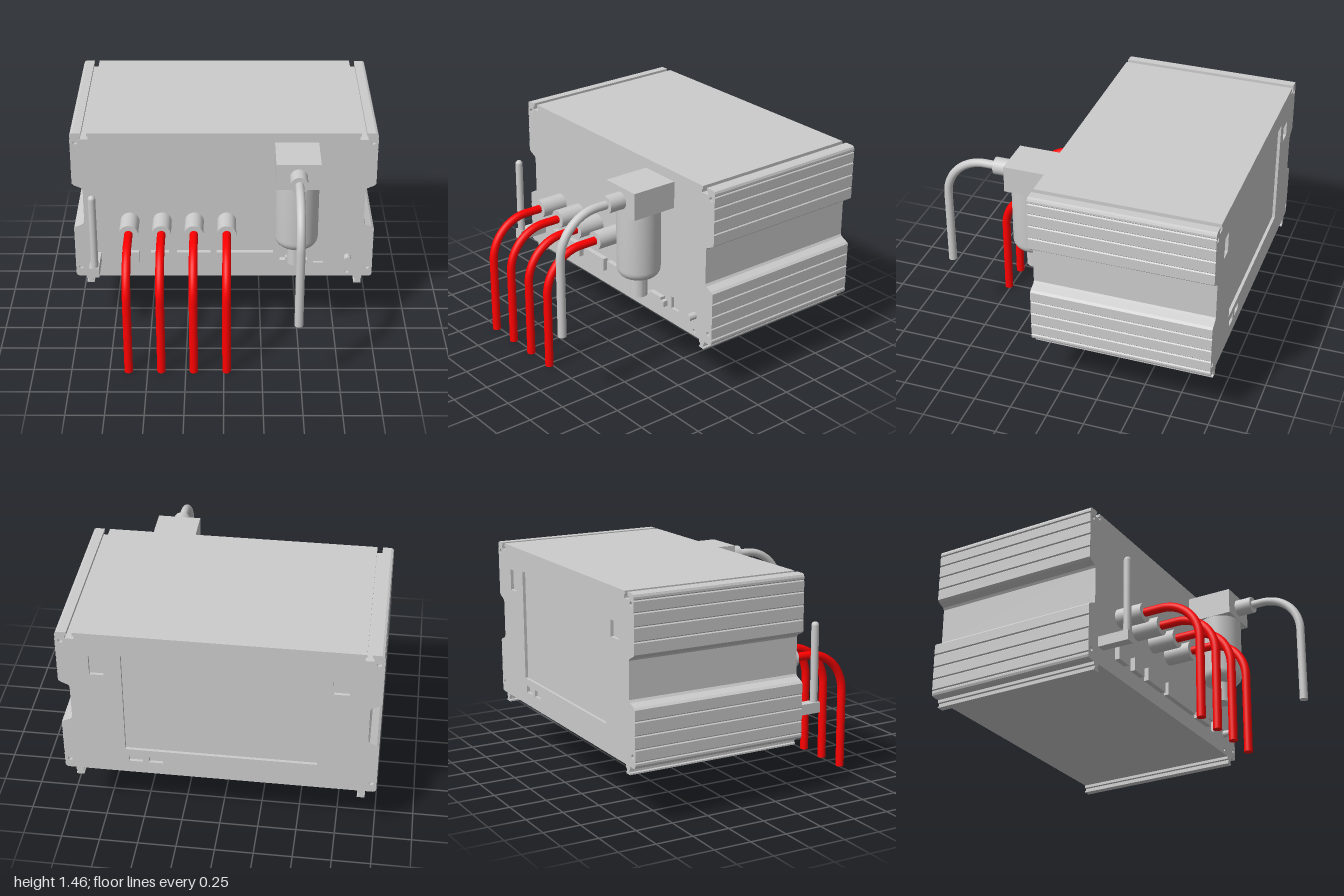
import * as THREE from 'three';
import { toCreasedNormals } from 'three/addons/utils/BufferGeometryUtils.js';

const grey = new THREE.MeshStandardMaterial({ color: 0xcccccc });
const red = new THREE.MeshStandardMaterial({ color: 0xff0000 });
const BACK = -1, FRONT = 0.19, PLATE = 0.02;

export function createModel() {
  const model = new THREE.Group();

  const add = (name, geometry, material = grey) => {
    const mesh = new THREE.Mesh(geometry, material);
    mesh.name = name;
    model.add(mesh);
    return mesh;
  };
  // Box given by its limits
  const box = (name, x0, x1, y0, y1, z0, z1) =>
    add(name, new THREE.BoxGeometry(x1 - x0, y1 - y0, z1 - z0))
      .position.set((x0 + x1) / 2, (y0 + y1) / 2, (z0 + z1) / 2);
  // Cylinder lying along z
  const rod = (name, x, y, r, z0, z1) => {
    const geometry = new THREE.CylinderGeometry(r, r, z1 - z0, 32).rotateX(Math.PI / 2);
    add(name, geometry).position.set(x, y, (z0 + z1) / 2);
  };

  // Right half of the case section, from the bottom rail up to the top slot
  const half = [
    [0.88, 0.385], [0.88, 0.365], [0.89, 0.36], [0.89, 0.345], [0.88, 0.34], [0.88, 0.33],
    [0.93, 0.33], [0.93, 0.34], [0.92, 0.345], [0.92, 0.36], [0.93, 0.365], [0.93, 0.385],
    [0.98, 0.385], [0.994, 0.391], [1, 0.405],
  ];
  const groove = (y) => half.push([1, y - 0.007], [0.993, y], [1, y + 0.007]);
  [0.425, 0.505, 0.59, 0.68].forEach(groove);
  half.push([1, 0.752], [0.985, 0.765], [0.94, 0.785], [0.93, 0.8],
    [0.93, 1.04], [0.94, 1.055], [0.985, 1.075], [1, 1.088]);
  [1.165, 1.255, 1.34, 1.415].forEach(groove);
  half.push([1, 1.435], [0.994, 1.449], [0.98, 1.455],
    [0.925, 1.455], [0.925, 1.435], [0.935, 1.43], [0.935, 1.41],
    [0.88, 1.41], [0.88, 1.43], [0.89, 1.435], [0.89, 1.455]);
  const outline = [...half, ...half.map(([x, y]) => [-x, y]).reverse()];

  // Slice of the case with optional rectangular and round openings
  const slice = (name, z0, z1, rects = [], circles = []) => {
    const shape = new THREE.Shape(outline.map(([x, y]) => new THREE.Vector2(x, y)));
    for (const [x0, x1, y0, y1] of rects) {
      shape.holes.push(new THREE.Path([
        new THREE.Vector2(x0, y0), new THREE.Vector2(x0, y1),
        new THREE.Vector2(x1, y1), new THREE.Vector2(x1, y0)]));
    }
    for (const [x, y, r] of circles) {
      shape.holes.push(new THREE.Path().absarc(x, y, r, 0, Math.PI * 2, true));
    }
    const geometry = new THREE.ExtrudeGeometry(shape,
      { depth: z1 - z0, bevelEnabled: false, curveSegments: 16 });
    add(name, geometry).position.z = z0;
  };
  const screwHoles = [-1, 1].flatMap((s) => [[s * 0.965, 1.39, 0.015], [s * 0.965, 0.455, 0.015]]);

  slice('caseBody', BACK + PLATE, FRONT - PLATE);
  slice('frontPlate', FRONT - PLATE, FRONT, [[0.6, 0.67, 0.49, 0.575]],
    [...screwHoles, [0.83, 0.42, 0.013]]);
  // Screen recess, two side openings and two small ports
  slice('backPlate', BACK, BACK + PLATE, [
    [-0.62, 0.6, 0.57, 1.31], [0.71, 0.8, 1.15, 1.29], [-0.8, -0.7, 1.14, 1.245],
    [0.49, 0.58, 0.475, 0.52], [0.36, 0.45, 0.475, 0.52]], screwHoles);

  // Connectors along the lower front
  for (const [x0, x1] of [[-0.685, -0.57], [-0.49, -0.37], [-0.315, -0.09], [-0.05, 0.33]]) {
    box('frontConnector', x0, x1, 0.495, 0.585, FRONT - 0.01, 0.225);
  }
  box('steppedConnectorBase', 0.375, 0.56, 0.49, 0.53, FRONT - 0.01, 0.225);
  box('steppedConnectorTop', 0.41, 0.53, 0.53, 0.55, FRONT - 0.01, 0.225);
  rod('frontButton', 0.83, 0.535, 0.024, FRONT - 0.01, 0.245);

  // Antenna on its bracket
  box('antennaBracket', -0.89, -0.825, 0.5, 0.57, FRONT - 0.01, 0.405);
  add('antenna', new THREE.CapsuleGeometry(0.025, 0.51, 6, 24)).position.set(-0.855, 0.82, 0.38);

  // Hose that leaves forwards, bends down and ends flat
  const hose = (name, x, y, r, zStart, zBend, zEnd, yBend, yEnd, material) => {
    const k = 0.5523;
    const p = (py, pz) => new THREE.Vector3(x, py, pz);
    const path = new THREE.CurvePath();
    path.add(new THREE.LineCurve3(p(y, zStart), p(y, zBend)));
    path.add(new THREE.CubicBezierCurve3(p(y, zBend), p(y, zBend + k * (zEnd - zBend)),
      p(yBend + k * (y - yBend), zEnd), p(yBend, zEnd)));
    path.add(new THREE.LineCurve3(p(yBend, zEnd), p(yEnd, zEnd)));
    add(name, new THREE.TubeGeometry(path, 80, r, 20), material);
    const cap = add(name + 'End', new THREE.CircleGeometry(r, 20).rotateX(Math.PI / 2), material);
    cap.position.set(x, yEnd, zEnd);
  };

  // Four power cables with their sleeves
  for (const x of [-0.625, -0.41, -0.197, 0.018]) {
    rod('cableSleeve', x, 0.81, 0.063, FRONT - 0.01, 0.375);
    hose('powerCable', x, 0.81, 0.028, 0.365, 0.49, 0.765, 0.53, 0, red);
  }

  // Filter: head block, bowl with rounded bottom and drain, inlet and hose
  box('filterHead', 0.33, 0.615, 1.21, 1.39, FRONT - 0.01, 0.505);
  const bowl = [[0, 0.6], [0.057, 0.6], [0.057, 0.74], [0.075, 0.74]];
  for (let i = 1; i <= 8; i++) {
    const a = (i / 8) * Math.PI / 2;
    bowl.push([0.075 + 0.067 * Math.sin(a), 0.807 - 0.067 * Math.cos(a)]);
  }
  bowl.push([0.142, 1.21]);
  const bowlGeometry = new THREE.LatheGeometry(bowl.map(([r, y]) => new THREE.Vector2(r, y)), 40);
  add('filterBowl', toCreasedNormals(bowlGeometry, 0.6)).position.set(0.473, 0, 0.362);
  rod('hoseFitting', 0.473, 1.3, 0.057, 0.5, 0.62);
  hose('filterHose', 0.473, 1.3, 0.028, 0.61, 0.69, 0.97, 1.02, 0.495, grey);

  return model;
}
